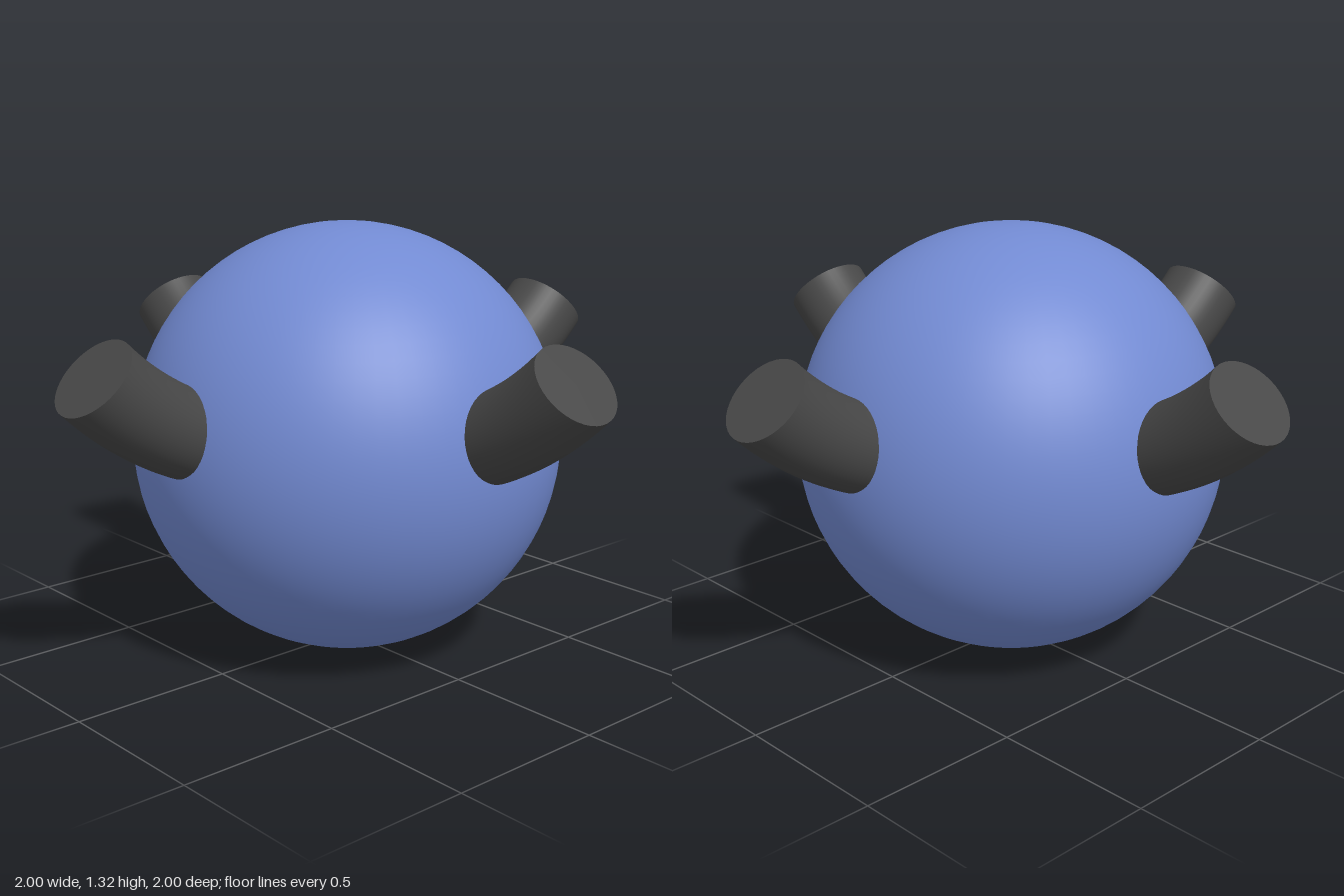
import * as THREE from 'three';

const blue = new THREE.MeshStandardMaterial({ color: 0x728ad2 });
blue.name = 'blue';
const charcoal = new THREE.MeshStandardMaterial({ color: 0x474747 });
charcoal.name = 'charcoal';

const BODY_RADIUS = 0.658;
const PIPE_RADIUS = 0.131;
const BEND_RADIUS = 1.0;
const PIPE_END = new THREE.Vector3(0.907, 0.968, 0);

// Circular arc that leaves the body sideways and curls up to 45 degrees
class BendCurve extends THREE.Curve {
  getPoint(t, target = new THREE.Vector3()) {
    const a = THREE.MathUtils.lerp(0.2, Math.PI / 4, t);
    const s = Math.SQRT1_2;
    return target.set(
      PIPE_END.x + BEND_RADIUS * (Math.sin(a) - s),
      PIPE_END.y + BEND_RADIUS * (s - Math.cos(a)),
      0
    );
  }
}

export function createModel() {
  const model = new THREE.Group();
  model.name = 'sphereWithPipes';

  // Round body
  const body = new THREE.Mesh(new THREE.SphereGeometry(BODY_RADIUS, 64, 40), blue);
  body.name = 'body';
  body.position.y = BODY_RADIUS;
  model.add(body);

  // Four bent pipes, each with a flat closed end
  const pipeGeometry = new THREE.TubeGeometry(new BendCurve(), 20, PIPE_RADIUS, 40);
  const capGeometry = new THREE.CircleGeometry(PIPE_RADIUS, 40);
  capGeometry.rotateY(Math.PI / 2).rotateZ(Math.PI / 4);
  capGeometry.translate(PIPE_END.x, PIPE_END.y, 0);

  ['left', 'back', 'right', 'front'].forEach((side, i) => {
    const arm = new THREE.Group();
    arm.name = `${side}Arm`;
    const pipe = new THREE.Mesh(pipeGeometry, charcoal);
    pipe.name = `${side}Pipe`;
    const cap = new THREE.Mesh(capGeometry, charcoal);
    cap.name = `${side}PipeEnd`;
    arm.add(pipe, cap);
    arm.rotation.y = (i * Math.PI) / 2;
    model.add(arm);
  });

  return model;
}
